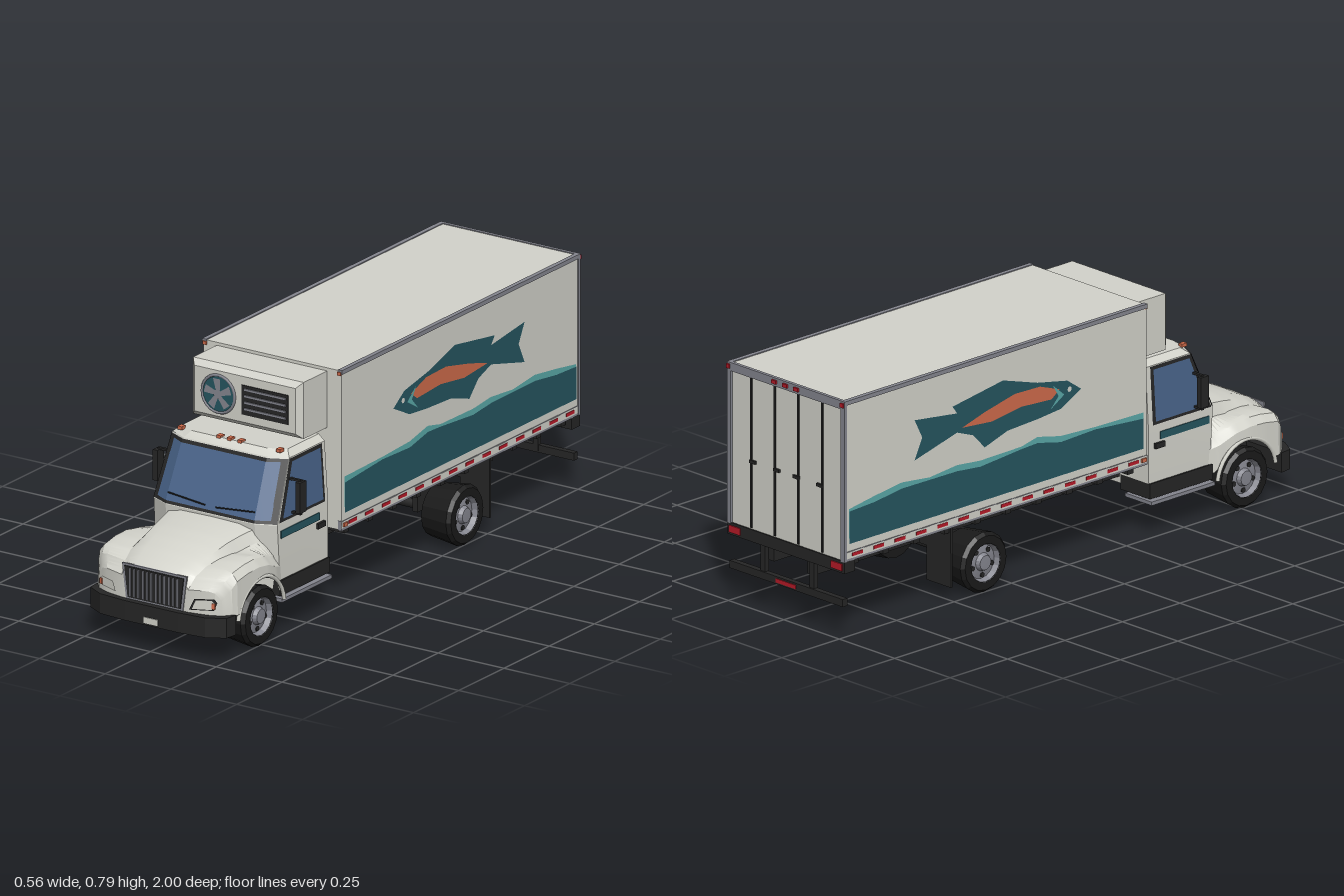
import * as THREE from 'three';
import { toCreasedNormals } from 'three/addons/utils/BufferGeometryUtils.js';

const mat = (name, color) => {
  const m = new THREE.MeshStandardMaterial({ color, side: THREE.DoubleSide });
  m.name = name;
  return m;
};

export function createModel() {
  const white = mat('white paint', 0xd3d3cb), grey = mat('grey trim', 0x85868f);
  const black = mat('black plastic', 0x262626), rubber = mat('tyre rubber', 0x1a1a1a);
  const teal = mat('dark teal', 0x255560), aqua = mat('light teal', 0x5aa9a8);
  const orange = mat('orange', 0xcf6b4b), red = mat('red', 0xb81a28);
  const glass = mat('glass', 0x49648a);

  const truck = new THREE.Group();
  truck.name = 'truck';
  const side = new THREE.Group(); // parts on the model's left, mirrored later
  side.name = 'leftSide';

  const add = (parent, name, geo, m, x = 0, y = 0, z = 0) => {
    const mesh = new THREE.Mesh(geo, m);
    mesh.name = name;
    mesh.position.set(x, y, z);
    parent.add(mesh);
    return mesh;
  };
  // box given by its extents
  const box = (parent, name, m, x0, x1, y0, y1, z0, z1) =>
    add(parent, name, new THREE.BoxGeometry(x1 - x0, y1 - y0, z1 - z0), m,
      (x0 + x1) / 2, (y0 + y1) / 2, (z0 + z1) / 2);
  const poly = pts => new THREE.Shape(pts.map(p => new THREE.Vector2(p[0], p[1])));
  // thin plate on the flank; points are [z, y]
  const flank = (name, m, x, pts) => {
    const mesh = add(side, name, new THREE.ShapeGeometry(poly(pts.map(([z, y]) => [-z, y]))), m, x);
    mesh.rotation.y = Math.PI / 2;
    return mesh;
  };
  // surface through rows of points
  const skin = (rows, crease = 0.3) => {
    const n = rows[0].length, index = [];
    for (let r = 0; r < rows.length - 1; r++) {
      for (let i = 0; i < n - 1; i++) {
        const a = r * n + i, b = a + n;
        index.push(a, b, a + 1, b, b + 1, a + 1);
      }
    }
    const g = new THREE.BufferGeometry();
    g.setAttribute('position', new THREE.Float32BufferAttribute(rows.flat(2), 3));
    g.setIndex(index);
    return toCreasedNormals(g, crease);
  };

  // Cargo box
  box(truck, 'cargoBox', white, -0.262, 0.262, 0.257, 0.787, -0.985, 0.325);
  box(truck, 'rearTopRail', grey, -0.265, 0.265, 0.762, 0.79, -0.992, -0.98);
  box(side, 'topRail', grey, 0.25, 0.266, 0.776, 0.79, -0.99, 0.327);
  box(side, 'bottomRail', grey, 0.25, 0.264, 0.255, 0.287, -0.985, 0.327);
  box(side, 'bottomRailFace', white, 0.262, 0.2645, 0.263, 0.285, -0.985, 0.327);
  box(side, 'rearPost', grey, 0.248, 0.265, 0.255, 0.785, -0.992, -0.98);
  for (let i = 0; i < 14; i++) {
    const z = 0.29 - i * 0.0925;
    box(side, 'reflector', red, 0.264, 0.266, 0.269, 0.28, z - 0.045, z);
  }
  // Rear doors
  for (const x of [0.053, 0.16]) {
    box(side, 'doorBar', black, x - 0.003, x + 0.003, 0.262, 0.762, -0.99, -0.98);
    box(side, 'doorHandle', black, x - 0.022, x + 0.004, 0.478, 0.488, -0.993, -0.985);
  }
  // Marker lights
  box(side, 'frontCornerMarker', orange, 0.249, 0.262, 0.772, 0.783, 0.32, 0.331);
  box(side, 'lowerMarker', orange, 0.262, 0.27, 0.268, 0.28, 0.3, 0.32);
  box(side, 'rearCornerMarker', red, 0.25, 0.264, 0.77, 0.784, -0.998, -0.985);
  for (const x of [-0.05, 0, 0.05]) box(truck, 'rearMarker', red, x - 0.01, x + 0.01, 0.771, 0.783, -0.998, -0.985);

  // Flank artwork: waves and fish
  const crest = [[0.31, 0.432], [0.1, 0.436], [-0.05, 0.443], [-0.15, 0.465], [-0.22, 0.45], [-0.4, 0.448],
    [-0.5, 0.458], [-0.62, 0.447], [-0.74, 0.46], [-0.86, 0.445], [-0.97, 0.428]];
  flank('waveCrest', aqua, 0.2635, [[0.31, 0.33], ...crest, [-0.97, 0.33]]);
  flank('wave', teal, 0.2645, [[0.31, 0.312],
    ...crest.map(([z, y], i) => [z, y - (i % 3 === 1 ? 0.008 : 0.02)]), [-0.97, 0.312]]);
  flank('fishBody', teal, 0.2635, [[0.04, 0.578], [-0.02, 0.62], [-0.15, 0.645], [-0.3, 0.69], [-0.52, 0.657],
    [-0.5, 0.63], [-0.685, 0.653], [-0.652, 0.588], [-0.685, 0.519], [-0.5, 0.566], [-0.43, 0.54],
    [-0.38, 0.487], [-0.28, 0.518], [-0.15, 0.524], [-0.05, 0.533]]);
  flank('fishStripe', orange, 0.2645, [[-0.055, 0.6], [-0.14, 0.63], [-0.25, 0.633], [-0.38, 0.605], [-0.48, 0.577],
    [-0.35, 0.566], [-0.22, 0.583], [-0.09, 0.575]]);
  flank('fishGill', aqua, 0.265, [[-0.085, 0.62], [-0.035, 0.578], [-0.095, 0.542], [-0.06, 0.579]]);
  add(side, 'fishEye', new THREE.CircleGeometry(0.009, 10), white, 0.265, 0.59, -0.012).rotation.y = Math.PI / 2;

  // Refrigeration unit
  const cooler = new THREE.ExtrudeGeometry(poly([[-0.192, 0.608], [0.192, 0.608], [0.192, 0.76], [-0.192, 0.76]]),
    { depth: 0.13, bevelSize: 0.018, bevelThickness: 0.02, bevelSegments: 1 });
  add(truck, 'coolingUnit', cooler, white, 0, 0, 0.328);
  box(side, 'coolingBracket', black, 0.14, 0.166, 0.572, 0.592, 0.325, 0.375);
  const fan = new THREE.Group();
  fan.name = 'fan';
  fan.position.set(-0.1, 0.683, 0.479);
  truck.add(fan);
  add(fan, 'fanDisc', new THREE.CircleGeometry(0.062, 24), teal, 0, 0, 0.001);
  add(fan, 'fanRing', new THREE.TorusGeometry(0.062, 0.005, 6, 24), grey);
  for (let i = 0; i < 5; i++) {
    add(fan, 'fanBlade', new THREE.ShapeGeometry(poly([[-0.005, 0.012], [0.01, 0.012], [0.019, 0.048], [-0.008, 0.053]])),
      grey, 0, 0, 0.003).rotation.z = i * Math.PI * 0.4 + 0.2;
  }
  add(fan, 'fanHub', new THREE.CircleGeometry(0.016, 12), grey, 0, 0, 0.005);
  box(truck, 'vent', black, -0.011, 0.166, 0.634, 0.732, 0.476, 0.481);
  for (let i = 0; i < 4; i++) box(truck, 'ventSlat', grey, 0, 0.158, 0.65 + i * 0.0215, 0.658 + i * 0.0215, 0.478, 0.485);

  // Cab shell: [y, half width, front z]
  const levels = [[0.145, 0.236, 0.655], [0.36, 0.235, 0.67], [0.558, 0.222, 0.585], [0.577, 0.2, 0.562]];
  const ring = ([y, w, f]) => [[-w, y, 0.36], [-w, y, f - 0.03], [-w * 0.72, y, f], [w * 0.72, y, f],
    [w, y, f - 0.03], [w, y, 0.36], [-w, y, 0.36]];
  add(truck, 'cab', skin(levels.map(ring)), white);
  for (const l of [levels[0], levels[3]]) {
    const cap = add(truck, 'cabCap', new THREE.ShapeGeometry(poly(ring(l).slice(0, 6).map(p => [p[0], -p[2]]))), white, 0, l[0], 0);
    cap.rotation.x = -Math.PI / 2;
  }
  // Windscreen
  const screen = (y, inset, out) => {
    const t = (y - 0.36) / 0.198;
    return ring([y, 0.235 - 0.013 * t, 0.67 - 0.085 * t]).slice(1, 5)
      .map(([x, yy, z], i) => [x + (i === 0 ? inset : i === 3 ? -inset : 0), yy, z + out]);
  };
  add(truck, 'windscreenFrame', skin([screen(0.363, 0, 0.003), screen(0.555, 0, 0.003)]), black);
  add(truck, 'windscreen', skin([screen(0.373, 0.008, 0.006), screen(0.545, 0.008, 0.006)]), glass);
  for (const [a, b] of [[-0.165, -0.02], [0.165, 0.02]]) {
    const path = new THREE.LineCurve3(new THREE.Vector3(a, 0.398, 0.663), new THREE.Vector3(b, 0.386, 0.668));
    add(truck, 'wiper', new THREE.TubeGeometry(path, 1, 0.0025, 5), black);
  }
  // Side windows, door stripe, handle
  const pane = (name, m, out, pts) => {
    const p = pts.map(([z, y]) => [0.235 - 0.013 * (y - 0.36) / 0.198 + out, y, z]);
    add(side, name, skin([[p[0], p[1]], [p[3], p[2]]]), m);
  };
  pane('sideWindowFrame', black, 0.002, [[0.378, 0.365], [0.632, 0.365], [0.556, 0.556], [0.378, 0.556]]);
  pane('sideWindow', glass, 0.004, [[0.39, 0.375], [0.612, 0.375], [0.546, 0.545], [0.39, 0.545]]);
  box(side, 'doorStripe', teal, 0.232, 0.238, 0.312, 0.337, 0.41, 0.622);
  box(side, 'doorHandleCab', black, 0.23, 0.244, 0.286, 0.304, 0.385, 0.425);
  // Mirrors
  box(side, 'mirror', black, 0.262, 0.28, 0.39, 0.492, 0.545, 0.58);
  for (const y of [0.383, 0.493]) box(side, 'mirrorArm', black, 0.222, 0.272, y - 0.003, y + 0.004, 0.556, 0.566);
  for (const x of [-0.187, -0.04, 0, 0.04, 0.187]) box(truck, 'roofMarker', orange, x - 0.008, x + 0.008, 0.572, 0.583, 0.545, 0.566);

  // Bonnet and wings: [z, top y, ridge x, wing top y, half width]
  const stations = [[0.62, 0.356, 0.19, 0.25, 0.237], [0.66, 0.354, 0.183, 0.262, 0.25], [0.72, 0.347, 0.17, 0.288, 0.26],
    [0.78, 0.338, 0.16, 0.298, 0.264], [0.84, 0.324, 0.152, 0.296, 0.265], [0.9, 0.304, 0.143, 0.286, 0.264],
    [0.945, 0.283, 0.134, 0.264, 0.256], [0.975, 0.264, 0.126, 0.228, 0.236]];
  const rows = [];
  for (let k = 0; k <= 28; k++) {
    const t = Math.min(k / 4, 6.9999), i = Math.floor(t);
    const [z, top, hx, ft, w] = stations[i].map((v, j) => THREE.MathUtils.lerp(v, stations[i + 1][j], t - i));
    const d = z - 0.764, arch = Math.max(0.145, 0.102 + Math.sqrt(Math.max(0, 0.0156 - d * d)));
    const half = [[hx * 0.6, top - 0.002], [hx * 0.88, top - 0.014], [hx, Math.max(ft - 0.004, top - 0.05)],
      [hx * 0.4 + w * 0.6, ft], [w - 0.022, ft - 0.006], [w - 0.003, ft - 0.03], [w, arch]];
    const sweep = Math.max(0, (z - 0.9) / 0.075) * 2.5; // nose swept back at its corners
    const at = (x, y) => [x, y, z - sweep * Math.max(0, Math.abs(x) - 0.12) ** 2];
    rows.push([...half.map(p => at(-p[0], p[1])).reverse(), at(0, top), ...half.map(p => at(p[0], p[1]))]);
  }
  rows.push(rows[28].map(([x, , z]) => [x, 0.145, z]));
  add(truck, 'bonnetAndWings', skin(rows, 0.35), white);
  const lip = add(side, 'wheelArch', new THREE.TorusGeometry(0.128, 0.007, 6, 18, Math.PI * 0.9), white, 0.259, 0.102, 0.764);
  lip.rotation.set(0, Math.PI / 2, Math.PI * 0.05);

  // Grille
  const trapezoid = (b, t, y0, y1) => new THREE.ExtrudeGeometry(poly([[-b, y0], [b, y0], [t, y1], [-t, y1]]), { depth: 0.006, bevelEnabled: false });
  add(truck, 'grilleFrame', trapezoid(0.108, 0.123, 0.15, 0.266), grey, 0, 0, 0.972);
  add(truck, 'grille', trapezoid(0.1, 0.113, 0.156, 0.259), black, 0, 0, 0.975);
  for (let i = 0; i < 12; i++) {
    const x = (i - 5.5) * 0.0165;
    box(truck, 'grilleBar', grey, x - 0.003, x + 0.003, 0.16, 0.254, 0.979, 0.985);
  }
  // Headlamps: the left one has a dark surround
  for (const s of [1, -1]) {
    const lamp = new THREE.Group();
    lamp.name = 'headlamp';
    lamp.position.set(s * 0.18, 0.182, 0.969);
    lamp.rotation.y = s * 0.3;
    truck.add(lamp);
    const outline = [[-0.047, -0.02], [0.035, -0.016], [0.046, 0.012], [0.036, 0.022], [-0.03, 0.018]];
    const shape = k => new THREE.ShapeGeometry(poly(outline.map(p => [p[0] * s * k, p[1] * k])));
    if (s > 0) add(lamp, 'lampSurround', shape(1), black);
    add(lamp, 'lampLens', shape(0.8), white, 0, 0, 0.002);
    box(lamp, 'turnSignal', orange, s * 0.034 - 0.005, s * 0.034 + 0.005, -0.01, 0.009, -0.002, 0.005);
  }
  // Bumper and number plate
  const bumper = add(truck, 'bumper', new THREE.ExtrudeGeometry(poly([[-0.264, -0.912], [0.264, -0.912], [0.258, -0.955],
    [0.2, -0.988], [0.1, -0.997], [-0.1, -0.997], [-0.2, -0.988], [-0.258, -0.955]]), { depth: 0.066, bevelEnabled: false }), black, 0, 0.083, 0);
  bumper.rotation.x = -Math.PI / 2;
  box(truck, 'numberPlate', white, -0.027, 0.027, 0.09, 0.11, 0.995, 1);

  // Chassis
  box(side, 'frameRail', black, 0.075, 0.105, 0.167, 0.256, -0.97, 0.6);
  box(side, 'frontRail', black, 0.075, 0.105, 0.115, 0.175, 0.4, 0.93);
  for (let i = 0; i < 10; i++) box(truck, 'crossMember', black, -0.245, 0.245, 0.232, 0.258, 0.26 - i * 0.133, 0.285 - i * 0.133);
  box(side, 'stepBox', black, 0.11, 0.242, 0.125, 0.175, 0.36, 0.635);
  box(side, 'stepTread', grey, 0.13, 0.25, 0.106, 0.118, 0.36, 0.635);
  box(side, 'mudFlap', black, 0.14, 0.252, 0.05, 0.17, -0.515, -0.509);
  box(side, 'mudFlapHanger', black, 0.1, 0.252, 0.165, 0.257, -0.517, -0.507);
  // Rear sill and underride guard
  box(truck, 'rearSill', black, -0.264, 0.264, 0.217, 0.257, -0.99, -0.945);
  box(side, 'tailLamp', red, 0.205, 0.255, 0.225, 0.248, -0.994, -0.985);
  box(side, 'guardPost', black, 0.1, 0.12, 0.11, 0.22, -0.985, -0.968);
  box(truck, 'guardBar', black, -0.255, 0.255, 0.105, 0.13, -0.99, -0.97);
  box(truck, 'guardReflector', red, -0.045, 0.045, 0.111, 0.124, -0.993, -0.989);

  // Wheels
  const lathe = (pts, n) => toCreasedNormals(new THREE.LatheGeometry(pts.map(p => new THREE.Vector2(...p)), n), 0.3);
  for (const z of [0.764, -0.372]) {
    const wheel = new THREE.Group();
    wheel.name = 'wheel';
    wheel.position.set(0, 0.1, z);
    wheel.rotation.z = -Math.PI / 2;
    side.add(wheel);
    add(wheel, 'tyre', lathe([[0, 0.145], [0.087, 0.145], [0.1, 0.248], [0.09, 0.26], [0.063, 0.26], [0.06, 0.235]], 16), rubber);
    add(wheel, 'rim', lathe([[0.064, 0.261], [0.056, 0.24], [0.03, 0.245], [0.024, 0.259], [0, 0.26]], 16), grey);
    for (let i = 0; i < 5; i++) {
      const a = i * Math.PI * 0.4;
      add(wheel, 'rimHole', new THREE.CylinderGeometry(0.0085, 0.0085, 0.006, 8), black, Math.cos(a) * 0.043, 0.243, Math.sin(a) * 0.043);
    }
    add(truck, 'axle', new THREE.CylinderGeometry(0.016, 0.016, 0.3, 8), black, 0, 0.1, z).rotation.z = Math.PI / 2;
    box(side, 'axleMount', black, 0.08, 0.1, 0.09, 0.175, z - 0.04, z + 0.04);
  }

  // Mirror the left side
  const right = side.clone();
  right.name = 'rightSide';
  right.scale.x = -1;
  truck.add(side, right);
  return truck;
}
